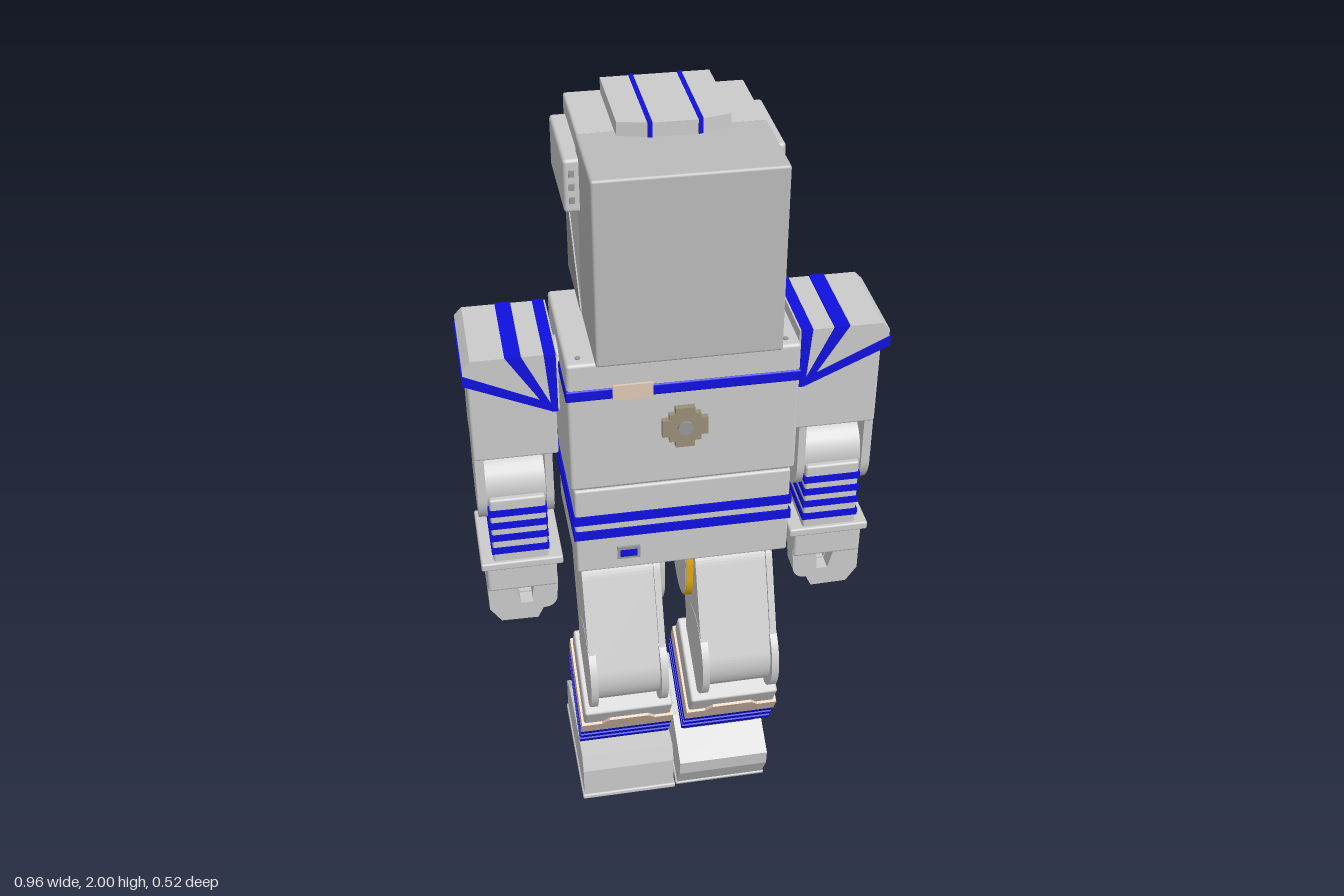
import * as THREE from 'three';
import { RoundedBoxGeometry } from 'three/addons/geometries/RoundedBoxGeometry.js';

const mat = (color) => new THREE.MeshStandardMaterial({ color });
const GREY = mat(0xcccccc), DARK = mat(0x999999), VISOR = mat(0xbbbbbb), BLUE = mat(0x1010e0);
const CREAM = mat(0xe0c8b4), YELLOW = mat(0xe0a810), GREEN = mat(0x2f7a2f), BRASS = mat(0x9a8f78);

function add(parent, name, geo, material = GREY) {
  const mesh = new THREE.Mesh(geo, material);
  mesh.name = name;
  parent.add(mesh);
  return mesh;
}

// Box given by its limits on each axis, with an optional rounded edge
function box(parent, name, [xa, xb], [ya, yb], [za, zb], material, r = 0) {
  const size = [Math.abs(xb - xa), Math.abs(yb - ya), Math.abs(zb - za)];
  const geo = r ? new RoundedBoxGeometry(...size, 2, r) : new THREE.BoxGeometry(...size);
  geo.translate((xa + xb) / 2, (ya + yb) / 2, (za + zb) / 2);
  return add(parent, name, geo, material);
}

const poly = (pts) => new THREE.Shape(pts.map(([a, b]) => new THREE.Vector2(a, b)));

// Shape in x, y extruded along z
function frontPlate(parent, name, shape, [za, zb], material) {
  const geo = new THREE.ExtrudeGeometry(shape, { depth: zb - za, bevelEnabled: false });
  return add(parent, name, geo.translate(0, 0, za), material);
}

// Shape in z, y extruded along x
function sidePlate(parent, name, shape, [xa, xb], material) {
  const geo = new THREE.ExtrudeGeometry(shape, { depth: Math.abs(xb - xa), bevelEnabled: false, curveSegments: 20 });
  return add(parent, name, geo.rotateY(-Math.PI / 2).translate(Math.max(xa, xb), 0, 0), material);
}

// Outline with round ends around two points
function capsule([ax, ay], [bx, by], r) {
  const t = Math.atan2(by - ay, bx - ax), q = Math.PI / 2;
  const s = new THREE.Shape();
  s.absarc(ax, ay, r, t + q, t + 3 * q, false);
  s.absarc(bx, by, r, t - q, t + q, false);
  return s;
}

function buildHead(g) {
  box(g, 'headShell', [-0.2, 0.2], [1.54, 1.965], [-0.185, 0.04], GREY, 0.006);
  box(g, 'visor', [-0.202, 0.202], [1.538, 1.967], [0.035, 0.26], VISOR, 0.006);
  // crest with two stripes
  const crest = (w0, w1, e) => {
    const front = (x) => 0.08 - Math.max(0, Math.abs(x) - 0.05) * 0.25;
    const xs = [w0, ...[-0.05, 0.05].filter((x) => x > w0 && x < w1), w1];
    return poly([[w0, 0.17 + e], [w1, 0.17 + e], ...xs.reverse().map((x) => [x, -front(x) - e])]);
  };
  const slab = (name, a, b, y0, y1, e, m) => add(g, name, new THREE.ExtrudeGeometry(crest(a, b, e),
    { depth: y1 - y0, bevelEnabled: false }).rotateX(-Math.PI / 2).translate(0, y0, 0), m);
  slab('crest', -0.12, 0.12, 1.96, 1.998, 0, GREY);
  for (const s of [-1, 1]) {
    slab('crestStripe', s * 0.053 - 0.005, s * 0.053 + 0.005, 1.962, 2, 0.002, BLUE);
    // ear pods and rear lamps
    box(g, 'earPod', [s * 0.195, s * 0.235], [1.81, 1.93], [-0.155, 0.08], GREY, 0.008);
    for (const y of [1.84, 1.87, 1.9]) box(g, 'earButton', [s * 0.212, s * 0.224], [y - 0.007, y + 0.007], [0.078, 0.084], DARK);
    box(g, 'rearLamp', [s * 0.04, s * 0.09], [1.605, 1.655], [-0.195, -0.18]);
  }
  // darker lower back of the head
  sidePlate(g, 'rearGuard', poly([[-0.187, 1.539], [0.03, 1.539], [-0.135, 1.71], [-0.187, 1.71]]), [-0.203, 0.203], DARK);
  frontPlate(g, 'rearBracket', poly([[-0.08, 1.69], [0.08, 1.69], [0.055, 1.765], [-0.055, 1.765]]), [-0.192, -0.18], DARK);
  box(g, 'rearBracketInset', [-0.045, 0.045], [1.705, 1.745], [-0.195, -0.18]);
  box(g, 'headUnderside', [-0.15, 0.15], [1.532, 1.542], [-0.16, 0.1], GREEN);
  add(g, 'neck', new THREE.CylinderGeometry(0.06, 0.06, 0.07, 24).translate(0, 1.525, 0.02));
}

function buildTorso(g) {
  box(g, 'chest', [-0.26, 0.26], [1.175, 1.51], [-0.133, 0.198], GREY, 0.008);
  box(g, 'waistSeam', [-0.245, 0.245], [1.15, 1.19], [-0.118, 0.185], DARK);
  box(g, 'abdomen', [-0.253, 0.253], [0.93, 1.168], [-0.125, 0.192], GREY, 0.006);
  box(g, 'chestStripe', [-0.263, 0.263], [1.417, 1.445], [-0.136, 0.201], BLUE, 0.004);
  for (const y of [1.083, 1.04]) box(g, 'waistStripe', [-0.257, 0.257], [y - 0.012, y + 0.012], [-0.129, 0.196], BLUE);
  box(g, 'pelvisPlate', [-0.23, 0.23], [0.92, 0.932], [-0.1, 0.16], GREEN);
  box(g, 'chestLabel', [-0.16, -0.07], [1.415, 1.452], [0.195, 0.204], CREAM);
  // chest emblem
  for (const [w, h] of [[0.052, 0.022], [0.022, 0.052], [0.036, 0.036]])
    box(g, 'emblem', [-w, w], [1.33 - h, 1.33 + h], [0.19, 0.212], BRASS);
  add(g, 'emblemCentre', new THREE.CylinderGeometry(0.018, 0.018, 0.026, 8).rotateX(Math.PI / 2).translate(0, 1.33, 0.205), DARK);
  box(g, 'badge', [-0.157, -0.103], [0.962, 0.996], [0.185, 0.197], DARK);
  box(g, 'badgeLight', [-0.15, -0.11], [0.97, 0.988], [0.185, 0.2], BLUE);
  // back hatch
  const hatch = (k) => poly([[-0.15, 1.4], [-0.15, 1.25], [-0.11, 1.2], [0.11, 1.2], [0.15, 1.25], [0.15, 1.4]]
    .map(([x, y]) => [x * k, 1.3 + (y - 1.3) * k]));
  frontPlate(g, 'hatchFrame', hatch(1), [-0.137, -0.12], DARK);
  frontPlate(g, 'hatch', hatch(0.96), [-0.141, -0.12]);
  box(g, 'hatchHandle', [-0.045, 0.045], [1.335, 1.355], [-0.146, -0.13], DARK, 0.005);
  for (const x of [-0.23, 0.23]) add(g, 'shoulderScrew', new THREE.CylinderGeometry(0.006, 0.006, 0.004, 10).translate(x, 1.511, 0.17), DARK);
}

function buildArm(g, s) {
  const X = (a, b) => [s * a, s * b];
  const flat = (pts) => poly(pts.map(([x, y]) => [s * x, y]));
  // shoulder cap with fanned stripes
  frontPlate(g, 'shoulderCap', flat([[0.27, 1.508], [0.46, 1.508], [0.478, 1.49], [0.478, 1.452], [0.29, 1.363], [0.27, 1.363]]), [-0.095, 0.14]);
  [[[0.274, 1.51], [0.274, 1.36], [0.288, 1.36], [0.3, 1.51]],
    [[0.284, 1.37], [0.298, 1.37], [0.385, 1.51], [0.35, 1.51]],
    [[0.285, 1.36], [0.481, 1.448], [0.481, 1.474], [0.295, 1.385]]]
    .forEach((p) => frontPlate(g, 'shoulderStripe', flat(p), [-0.097, 0.142], BLUE));
  add(g, 'shoulderPivot', new THREE.CylinderGeometry(0.055, 0.055, 0.05, 24).rotateZ(Math.PI / 2).translate(s * 0.265, 1.42, 0.02));
  box(g, 'upperArm', X(0.275, 0.47), [1.225, 1.44], [-0.07, 0.115], GREY, 0.006);
  // elbow with round-ended cheek plates
  for (const [a, b] of [[0.29, 0.308], [0.447, 0.468]])
    sidePlate(g, 'elbowCheek', capsule([0.022, 1.25], [0.022, 1.11], 0.09), X(a, b));
  add(g, 'elbowDrum', new THREE.CylinderGeometry(0.08, 0.08, 0.14, 28).rotateZ(Math.PI / 2).translate(s * 0.377, 1.115, 0.022));
  box(g, 'forearm', X(0.312, 0.443), [0.92, 1.11], [-0.068, 0.115], GREY, 0.006);
  for (const y of [1.072, 1.036, 1.0, 0.962])
    box(g, 'forearmStripe', X(0.309, 0.446), [y - 0.009, y + 0.009], [-0.071, 0.118], BLUE);
  // hand
  box(g, 'cuff', X(0.278, 0.474), [0.908, 0.93], [-0.095, 0.125], GREY, 0.005);
  box(g, 'palm', X(0.293, 0.462), [0.835, 0.915], [-0.075, 0.115], GREY, 0.008);
  for (let i = 0; i < 4; i++) {
    const z = -0.06 + i * 0.043;
    frontPlate(g, 'finger', flat([[0.462, 0.845], [0.462, 0.775], [0.435, 0.735], [0.345, 0.733], [0.332, 0.76],
      [0.342, 0.785], [0.385, 0.785], [0.4, 0.845]]), [z, z + 0.038]);
  }
  const thumb = capsule([s * 0.322, 0.85], [s * 0.326, 0.795], 0.03);
  frontPlate(g, 'thumb', thumb, [0.05, 0.11]);
}

function buildLeg(g, s) {
  const X = (a, b) => [s * a, s * b];
  const tilt = 0.506, hip = [0.035, 0.81], knee = [0.13, 0.585];
  // hip
  sidePlate(g, 'hipBracket', capsule([0.003, 0.83], [0.003, 0.785], 0.096), X(0.028, 0.046), s > 0 ? YELLOW : GREY);
  sidePlate(g, 'hipCover', capsule([0.003, 0.83], [0.003, 0.785], 0.091), X(0.026, 0.05));
  box(g, 'hipMount', X(0.03, 0.21), [0.82, 0.925], [-0.07, 0.09]);
  // thigh, with a recessed middle between its cheeks
  sidePlate(g, 'thigh', capsule(hip, knee, 0.095), X(0.06, 0.22));
  for (const [a, b] of [[0.044, 0.06], [0.22, 0.236]]) {
    sidePlate(g, 'thighCheek', capsule(hip, knee, 0.103), X(a, b));
    add(g, 'kneeDisc', new THREE.CylinderGeometry(0.115, 0.115, 0.018, 36).rotateZ(Math.PI / 2)
      .translate(s * (a + b) / 2, knee[1], knee[0]));
  }
  // shin, tilted back from the knee
  const shin = new THREE.Group();
  shin.name = 'shin';
  shin.position.set(0, 0.58, 0.13);
  shin.rotation.x = tilt;
  g.add(shin);
  box(shin, 'shinTop', X(0.024, 0.25), [-0.2, -0.07], [-0.115, 0.115], GREY, 0.006);
  box(shin, 'shinBody', X(0.022, 0.252), [-0.3, -0.19], [-0.112, 0.116], GREY, 0.006);
  box(shin, 'shinBand', X(0.018, 0.256), [-0.197, -0.142], [-0.118, 0.122], CREAM);
  frontPlate(shin, 'shinBandTab', poly([[0.06, -0.15], [0.21, -0.15], [0.185, -0.118], [0.085, -0.118]]
    .map(([x, y]) => [s * x, y])), [0.11, 0.122], CREAM);
  for (const y of [-0.213, -0.248, -0.284])
    box(shin, 'shinStripe', X(0.018, 0.256), [y - 0.01, y + 0.01], [-0.116, 0.12], BLUE);
  box(shin, 'ankle', X(0.04, 0.23), [-0.39, -0.29], [-0.1, 0.08], GREY, 0.006);
  // foot: heel lifted on the left, flat on the right
  const foot = new THREE.Group();
  foot.name = 'foot';
  if (s > 0) {
    foot.position.set(0, 0.176, -0.26);
    foot.rotation.x = tilt;
  } else foot.position.set(0, 0.11, -0.2);
  g.add(foot);
  sidePlate(foot, 'footShell', poly([[0.004, 0.012], [0.352, 0.012], [0.352, 0.1], [0.335, 0.142], [0.2, 0.15], [0.06, 0.135], [0.004, 0.105]]), X(0.014, 0.256));
  box(foot, 'sole', X(0.01, 0.26), [0, 0.014], [0, 0.357], GREY, 0.004);
  box(foot, 'footCollar', X(0.035, 0.238), [0.12, 0.165], [0.06, 0.24], DARK, 0.005);
  for (const x of [0.035, 0.235]) for (const z of [0.03, 0.325])
    add(foot, 'soleScrew', new THREE.CylinderGeometry(0.008, 0.008, 0.004, 10).translate(s * x, 0, z), DARK);
}

export function createModel() {
  const model = new THREE.Group();
  model.name = 'robot';
  const part = (name, build, ...args) => {
    const g = new THREE.Group();
    g.name = name;
    model.add(g);
    build(g, ...args);
  };
  part('head', buildHead);
  part('torso', buildTorso);
  for (const [side, s] of [['left', 1], ['right', -1]]) {
    part(side + 'Arm', buildArm, s);
    part(side + 'Leg', buildLeg, s);
  }
  return model;
}
